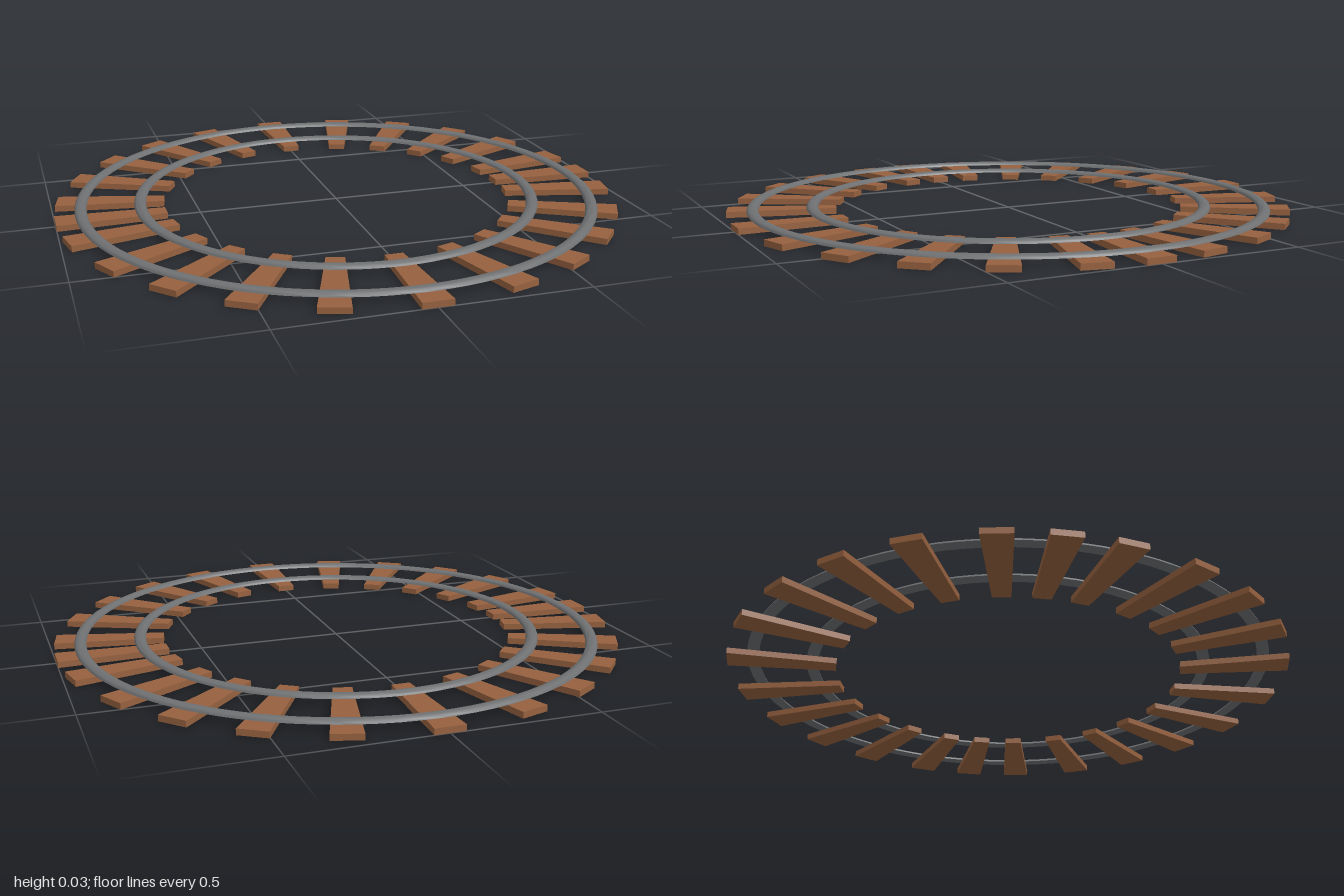
import * as THREE from 'three';
import { toCreasedNormals } from 'three/addons/utils/BufferGeometryUtils.js';

const INNER = 0.62, OUTER = 1.0, TIE_TOP = 0.021, RAIL_TOP = 0.034;

// Wooden tie: a flat box along +z that narrows towards the ring's centre
function tieGeometry() {
  const length = OUTER - INNER;
  const g = new THREE.BoxGeometry(1, TIE_TOP, length);
  g.translate(0, TIE_TOP / 2, INNER + length / 2);
  const p = g.attributes.position;
  for (let i = 0; i < p.count; i++) {
    const width = p.getZ(i) > 0.8 ? 0.102 : 0.062;
    p.setX(i, p.getX(i) * width);
  }
  g.computeVertexNormals();
  return g;
}

// Rail: a low dome section with a flat underside, swept around the ring
function railGeometry(radius) {
  const halfWidth = 0.021, steps = 8, profile = [];
  for (let i = 0; i <= steps; i++) {
    const a = (i / steps) * Math.PI;
    profile.push(new THREE.Vector2(
      radius + halfWidth * Math.cos(a),
      TIE_TOP + (RAIL_TOP - TIE_TOP) * Math.sin(a)));
  }
  profile.push(profile[0].clone());
  return toCreasedNormals(new THREE.LatheGeometry(profile, 96), 0.9);
}

export function createModel() {
  const track = new THREE.Group();
  track.name = 'circularTrack';
  const wood = new THREE.MeshStandardMaterial({ color: 0x96613f });
  const steel = new THREE.MeshStandardMaterial({ color: 0x6e7072 });

  // Ties: one quadrant of angles, mirrored to all four
  const quadrant = [0, 17.4, 33, 48, 62.8, 78.2, 90];
  const angles = new Set();
  for (const a of quadrant) {
    for (const b of [a, 180 - a, 180 + a, 360 - a]) angles.add(b % 360);
  }
  const ties = new THREE.Group();
  ties.name = 'ties';
  const tieGeo = tieGeometry();
  for (const a of angles) {
    const tie = new THREE.Mesh(tieGeo, wood);
    tie.name = 'tie';
    tie.rotation.y = THREE.MathUtils.degToRad(a);
    ties.add(tie);
  }
  track.add(ties);

  // Two concentric rails
  for (const [name, radius] of [['innerRail', 0.704], ['outerRail', 0.911]]) {
    const rail = new THREE.Mesh(railGeometry(radius), steel);
    rail.name = name;
    track.add(rail);
  }
  return track;
}
